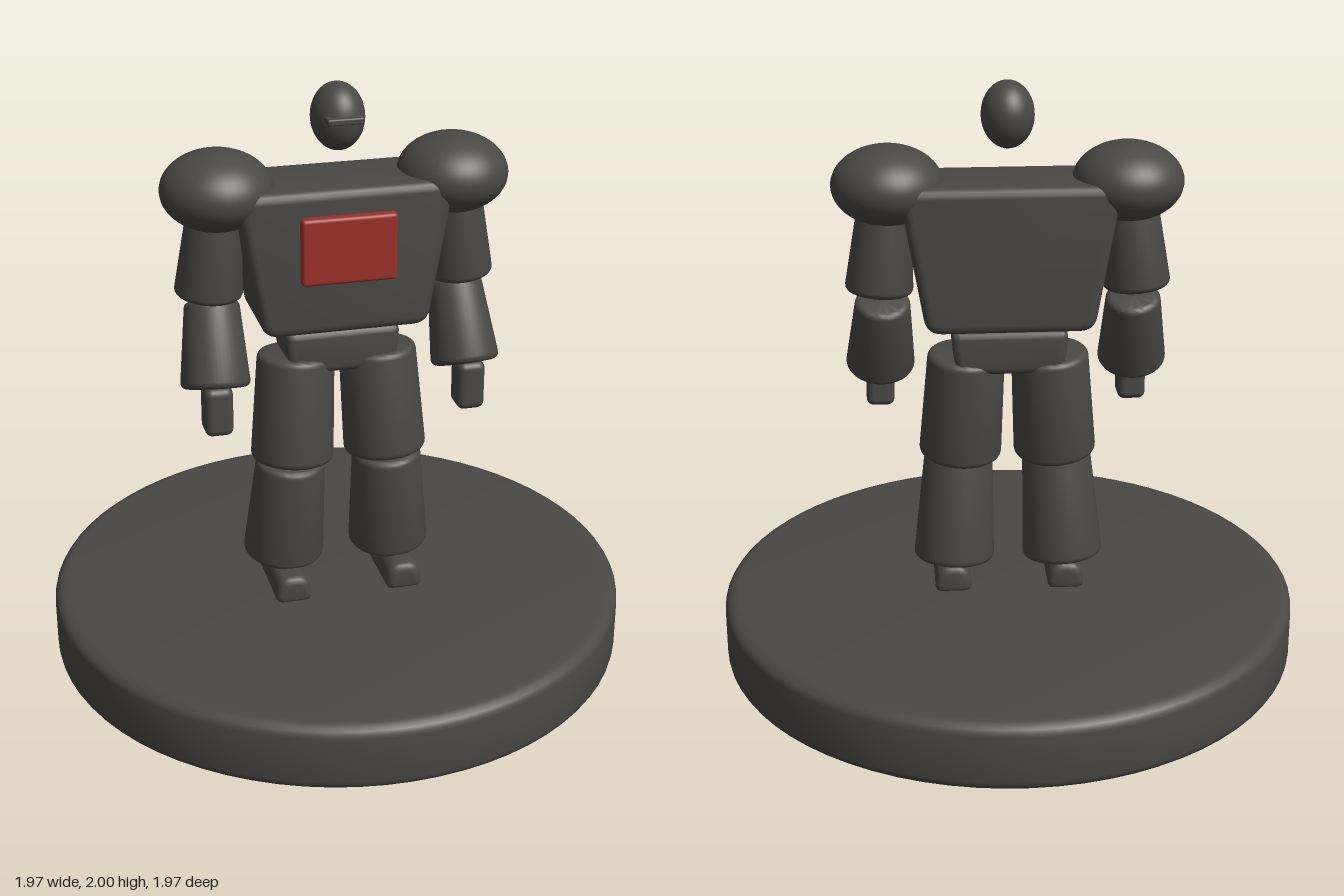
import * as THREE from 'three';
import { toCreasedNormals } from 'three/addons/utils/BufferGeometryUtils.js';
import { RoundedBoxGeometry } from 'three/addons/geometries/RoundedBoxGeometry.js';

const dark = new THREE.MeshStandardMaterial({ color: 0x4a4845 });
const red = new THREE.MeshStandardMaterial({ color: 0x9c3028 });

const V = (x, y, z) => new THREE.Vector3(x, y, z);

function add(parent, name, geometry, pos = [0, 0, 0], material = dark) {
  const mesh = new THREE.Mesh(geometry, material);
  mesh.name = name;
  mesh.position.set(...pos);
  parent.add(mesh);
  return mesh;
}

// Lathe profile of a tapered cylinder with rounded rims: rim size bx by by
function drum(r0, r1, h, bx, by, segments) {
  const pts = [new THREE.Vector2(0, 0)];
  const n = 5;
  for (let i = 0; i <= n; i++) {
    const a = (i / n) * Math.PI / 2;
    pts.push(new THREE.Vector2(r0 - bx + bx * Math.sin(a), by - by * Math.cos(a)));
  }
  for (let i = 0; i <= n; i++) {
    const a = (i / n) * Math.PI / 2;
    pts.push(new THREE.Vector2(r1 - bx + bx * Math.cos(a), h - by + by * Math.sin(a)));
  }
  pts.push(new THREE.Vector2(0, h));
  return toCreasedNormals(new THREE.LatheGeometry(pts, segments), 0.5);
}

// Limb segment running from point a (radius ra) to point b (radius rb)
function limb(parent, name, a, b, ra, rb) {
  const dir = b.clone().sub(a);
  const mesh = add(parent, name, drum(ra, rb, dir.length(), 0.022, 0.022, 40), a.toArray());
  mesh.quaternion.setFromUnitVectors(V(0, 1, 0), dir.normalize());
  return mesh;
}

function ellipsoid(parent, name, pos, scale) {
  return add(parent, name, new THREE.SphereGeometry(1, 40, 28).scale(...scale), pos);
}

// Symmetric slab with a rounded trapezoid front, extruded from z0 to z1
function slab(topHalf, bottomHalf, y0, y1, z0, z1, topRadius, bottomRadius, bevel) {
  const c = [[-bottomHalf, y0], [bottomHalf, y0], [topHalf, y1], [-topHalf, y1]]
    .map(([x, y]) => new THREE.Vector2(x, y));
  const radii = [bottomRadius, bottomRadius, topRadius, topRadius];
  const shape = new THREE.Shape();
  c.forEach((p, i) => {
    const toward = (q) => p.clone().add(q.clone().sub(p).setLength(radii[i]));
    const from = toward(c[(i + 3) % 4]);
    const to = toward(c[(i + 1) % 4]);
    if (i === 0) shape.moveTo(from.x, from.y);
    else shape.lineTo(from.x, from.y);
    shape.quadraticCurveTo(p.x, p.y, to.x, to.y);
  });
  shape.closePath();
  const geo = new THREE.ExtrudeGeometry(shape, {
    depth: z1 - z0 - 2 * bevel, curveSegments: 6, bevelEnabled: true,
    bevelSize: bevel, bevelThickness: bevel, bevelOffset: -bevel, bevelSegments: 4,
  });
  geo.translate(0, 0, z0 + bevel);
  return toCreasedNormals(geo, 0.6);
}

export function createModel() {
  const model = new THREE.Group();
  model.name = 'armouredFigure';

  // Round display base
  add(model, 'base', drum(0.985, 0.985, 0.237, 0.05, 0.04, 72));

  // Head and visor
  ellipsoid(model, 'head', [0, 1.89, 0.018], [0.087, 0.11, 0.102]);
  add(model, 'visor', new RoundedBoxGeometry(0.12, 0.022, 0.05, 2, 0.006), [0, 1.9, 0.108]);

  // Torso, chest panel and pelvis
  add(model, 'torso', slab(0.36, 0.275, 1.2, 1.688, -0.16, 0.158, 0.05, 0.05, 0.03));
  add(model, 'chestPanel', new RoundedBoxGeometry(0.314, 0.224, 0.06, 3, 0.012),
    [0, 1.495, 0.159], red);
  add(model, 'pelvis', slab(0.195, 0.18, 1.04, 1.19, -0.11, 0.11, 0.03, 0.06, 0.025));

  for (const s of [1, -1]) {
    const side = s > 0 ? 'left' : 'right';

    // Arm
    const arm = new THREE.Group();
    arm.name = side + 'Arm';
    ellipsoid(arm, 'shoulder', [s * 0.392, 1.67, -0.001], [0.183, 0.13, 0.185]);
    limb(arm, 'upperArm', V(s * 0.395, 1.67, 0), V(s * 0.427, 1.31, -0.01), 0.085, 0.112);
    limb(arm, 'forearm', V(s * 0.415, 1.285, -0.02), V(s * 0.428, 1.02, 0.085), 0.092, 0.115);
    add(arm, 'hand', new RoundedBoxGeometry(0.095, 0.17, 0.105, 4, 0.025),
      [s * 0.43, 0.96, 0.112]);
    model.add(arm);

    // Leg
    const leg = new THREE.Group();
    leg.name = side + 'Leg';
    limb(leg, 'thigh', V(s * 0.14, 1.085, 0.005), V(s * 0.163, 0.71, 0.035), 0.13, 0.14);
    limb(leg, 'shin', V(s * 0.168, 0.71, 0.035), V(s * 0.189, 0.335, -0.005), 0.118, 0.138);
    add(leg, 'foot', slab(0.052, 0.066, 0.235, 0.332, -0.095, 0.203, 0.045, 0.03, 0.025),
      [s * 0.195, 0, 0]);
    model.add(leg);
  }
  return model;
}
